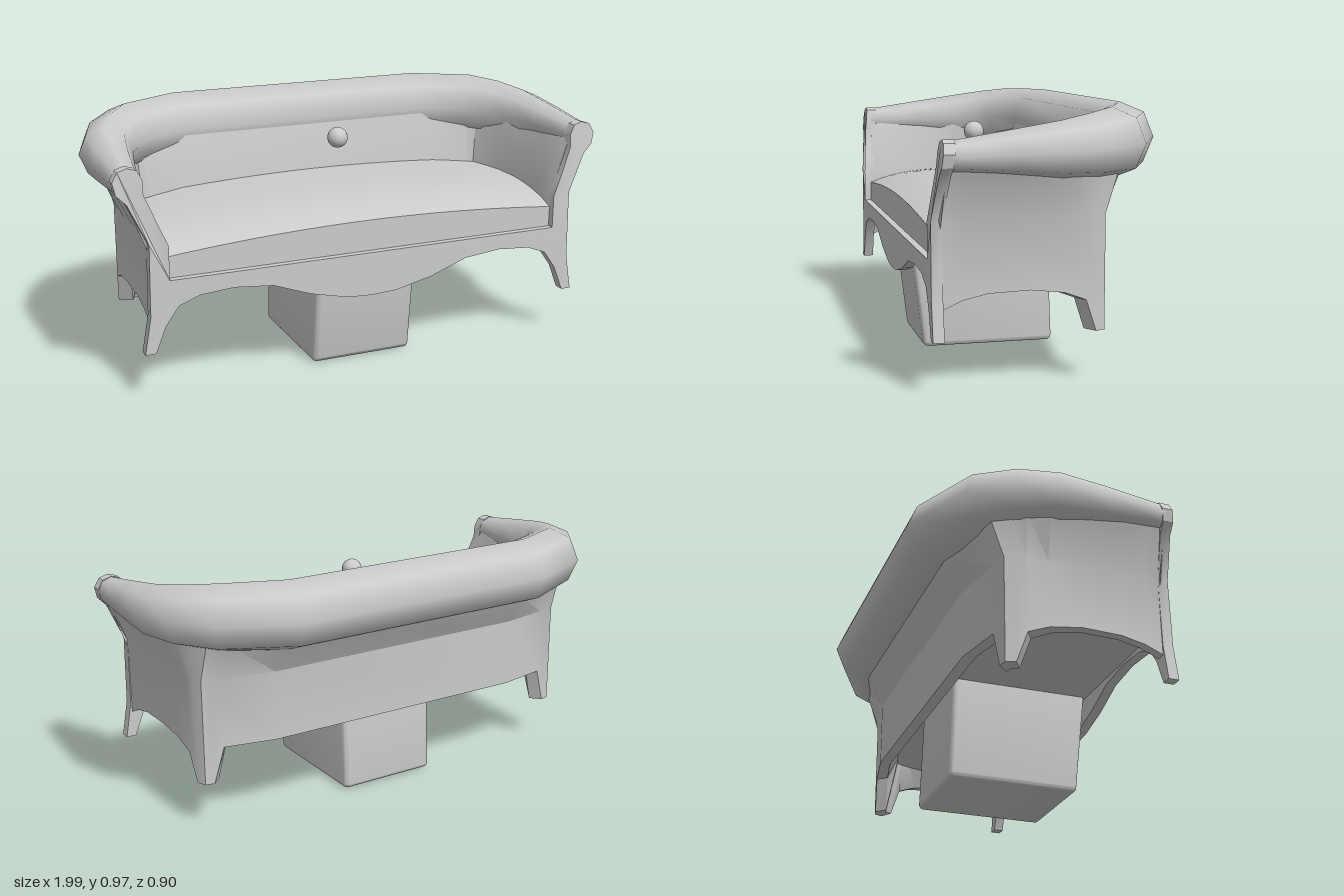
import * as THREE from 'three';
import { toCreasedNormals } from 'three/addons/utils/BufferGeometryUtils.js';
import { RoundedBoxGeometry } from 'three/addons/geometries/RoundedBoxGeometry.js';

const material = new THREE.MeshStandardMaterial({ color: 0xcccccc, side: THREE.DoubleSide });

function part(name, geometry) {
  const mesh = new THREE.Mesh(geometry, material);
  mesh.name = name;
  return mesh;
}

// Moves every vertex by a rule, then refreshes the normals
function reshape(geometry, rule, crease) {
  const p = geometry.attributes.position;
  const v = new THREE.Vector3();
  for (let i = 0; i < p.count; i++) {
    rule(v.fromBufferAttribute(p, i));
    p.setXYZ(i, v.x, v.y, v.z);
  }
  return toCreasedNormals(geometry, crease);
}

// Skin over a row of closed rings, with fan caps at both ends
function loft(rings, crease) {
  const n = rings[0].length;
  const pts = rings.flat();
  const index = [];
  for (let r = 0; r < rings.length - 1; r++) {
    for (let k = 0; k < n; k++) {
      const a = r * n + k, b = r * n + (k + 1) % n;
      index.push(a, a + n, b, b, a + n, b + n);
    }
  }
  for (const [start, flip] of [[0, false], [(rings.length - 1) * n, true]]) {
    const centre = new THREE.Vector3();
    for (let k = 0; k < n; k++) centre.addScaledVector(pts[start + k], 1 / n);
    const c = pts.push(centre) - 1;
    for (let k = 0; k < n; k++) {
      const a = start + k, b = start + (k + 1) % n;
      index.push(c, flip ? b : a, flip ? a : b);
    }
  }
  const g = new THREE.BufferGeometry().setFromPoints(pts);
  g.setIndex(index);
  return toCreasedNormals(g, crease);
}

// Padded roll running along one arm, the back and the other arm
function buildRoll() {
  const half = [ // x, y, z, radius
    [0.92, 0.82, 0.405, 0.053], [0.92, 0.82, 0.37, 0.055], [0.91, 0.826, 0.18, 0.078],
    [0.895, 0.83, 0.01, 0.1], [0.845, 0.835, -0.11, 0.115],
    [0.76, 0.84, -0.215, 0.125], [0.535, 0.84, -0.32, 0.13],
  ];
  const path = [...half, ...half.map(([x, ...rest]) => [-x, ...rest]).reverse()];
  const rings = path.map(([x, y, z, r], i) => {
    const a = path[Math.max(i - 1, 0)], b = path[Math.min(i + 1, path.length - 1)];
    const out = new THREE.Vector2(-(b[2] - a[2]), b[0] - a[0]).normalize();
    return Array.from({ length: 8 }, (_, k) => {
      const t = k * Math.PI / 4;
      return new THREE.Vector3(x + out.x * r * Math.cos(t), y + r * Math.sin(t), z + out.y * r * Math.cos(t));
    });
  });
  return loft(rings, 1.0);
}

// Arms, back and rear legs as one wall that flares up to the roll
function buildWall() {
  const half = [ // outer x z, bottom y, outer top x z y, inner x z, inner top x z
    [0.86, 0.42, 0.29, 0.94, 0.405, 0.79, 0.79, 0.42, 0.88, 0.40],
    [0.86, 0.34, 0.325, 0.94, 0.33, 0.78, 0.79, 0.34, 0.87, 0.33],
    [0.86, 0.25, 0.345, 0.94, 0.24, 0.77, 0.79, 0.25, 0.86, 0.24],
    [0.86, 0.10, 0.35, 0.93, 0.08, 0.76, 0.785, 0.12, 0.84, 0.10],
    [0.855, -0.02, 0.335, 0.92, -0.03, 0.76, 0.775, 0.03, 0.81, 0.02],
    [0.85, -0.10, 0.305, 0.89, -0.11, 0.75, 0.755, -0.04, 0.785, -0.05],
    [0.84, -0.14, 0.19, 0.86, -0.16, 0.75, 0.74, -0.08, 0.765, -0.09],
    [0.825, -0.175, 0.19, 0.82, -0.22, 0.74, 0.73, -0.10, 0.75, -0.12],
    [0.79, -0.182, 0.19, 0.78, -0.24, 0.74, 0.715, -0.105, 0.735, -0.13],
    [0.75, -0.19, 0.33, 0.74, -0.25, 0.74, 0.69, -0.11, 0.71, -0.15],
    [0.55, -0.23, 0.33, 0.54, -0.31, 0.73, 0.56, -0.14, 0.56, -0.20],
  ];
  const ring = (side) => ([ox, oz, yb, tx, tz, ty, ix, iz, jx, jz]) => [
    [ox, yb, oz], [ox, 0.6, oz], [tx, ty, tz], [jx, 0.82, jz], [ix, 0.58, iz], [ix, 0.42, iz],
    [(ox + ix) / 2, yb, (oz + iz) / 2],
  ].map(([x, y, z]) => new THREE.Vector3(x * side, y, z));
  return loft([...half.map(ring(1)), ...half.map(ring(-1)).reverse()], 0.45);
}

// Front rail, front legs and arm posts cut from one outline
function buildFrontFrame() {
  const half = [
    [0.1, 0.295], [0.25, 0.33], [0.4, 0.385], [0.55, 0.4], [0.68, 0.39], [0.76, 0.36], [0.81, 0.29],
    [0.85, 0.19], [0.89, 0.19], [0.865, 0.33], [0.86, 0.6], [0.93, 0.75], [0.965, 0.785],
    [0.975, 0.83], [0.955, 0.865], [0.92, 0.876], [0.885, 0.865], [0.868, 0.83], [0.868, 0.78],
    [0.82, 0.66], [0.79, 0.59], [0.79, 0.46],
  ];
  const outline = [[0, 0.29], ...half, ...half.map(([x, y]) => [-x, y]).reverse()];
  const shape = new THREE.Shape(outline.map(([x, y]) => new THREE.Vector2(x, y)));
  const g = new THREE.ExtrudeGeometry(shape, { depth: 0.04, bevelEnabled: false });
  g.translate(0, 0, 0.407);
  // The posts lean back above the seat
  return reshape(g, (v) => { v.z -= Math.max(0, v.y - 0.6) * 0.1; }, 0.5);
}

// Crowned seat cushion, lower towards the front and the arms
function buildCushion() {
  const g = new THREE.BoxGeometry(1.58, 1, 0.57, 24, 3, 12);
  g.translate(0, 0.5, 0.135);
  return reshape(g, (v) => {
    const s = (v.z + 0.15) / 0.57;
    const top = 0.6 + 0.04 * (1 - (v.x / 0.79) ** 2) - 0.06 * s ** 4;
    v.y = 0.45 + v.y * (top - 0.45);
  }, 0.6);
}

// Soft block beneath the sofa, narrowing slightly towards the floor
function buildBlock() {
  const g = new RoundedBoxGeometry(0.41, 0.425, 0.54, 3, 0.02);
  g.translate(0, 0.2175, 0.12);
  return reshape(g, (v) => {
    const k = 1 - v.y / 0.3;
    if (v.z > 0.12) v.z -= 0.035 * k;
    else v.z -= 0.012 * k;
  }, 0.7);
}

export function createModel() {
  const model = new THREE.Group();
  model.name = 'sofa';
  const base = new THREE.BoxGeometry(1.58, 0.05, 0.58);
  base.translate(0, 0.435, 0.13);
  const ball = new THREE.SphereGeometry(0.04, 20, 14);
  ball.translate(0, 0.83, 0.11);
  model.add(
    part('armsAndBack', buildWall()),
    part('paddedRoll', buildRoll()),
    part('frontFrame', buildFrontFrame()),
    part('seatCushion', buildCushion()),
    part('seatBase', base),
    part('underBlock', buildBlock()),
    part('ball', ball),
  );
  return model;
}
